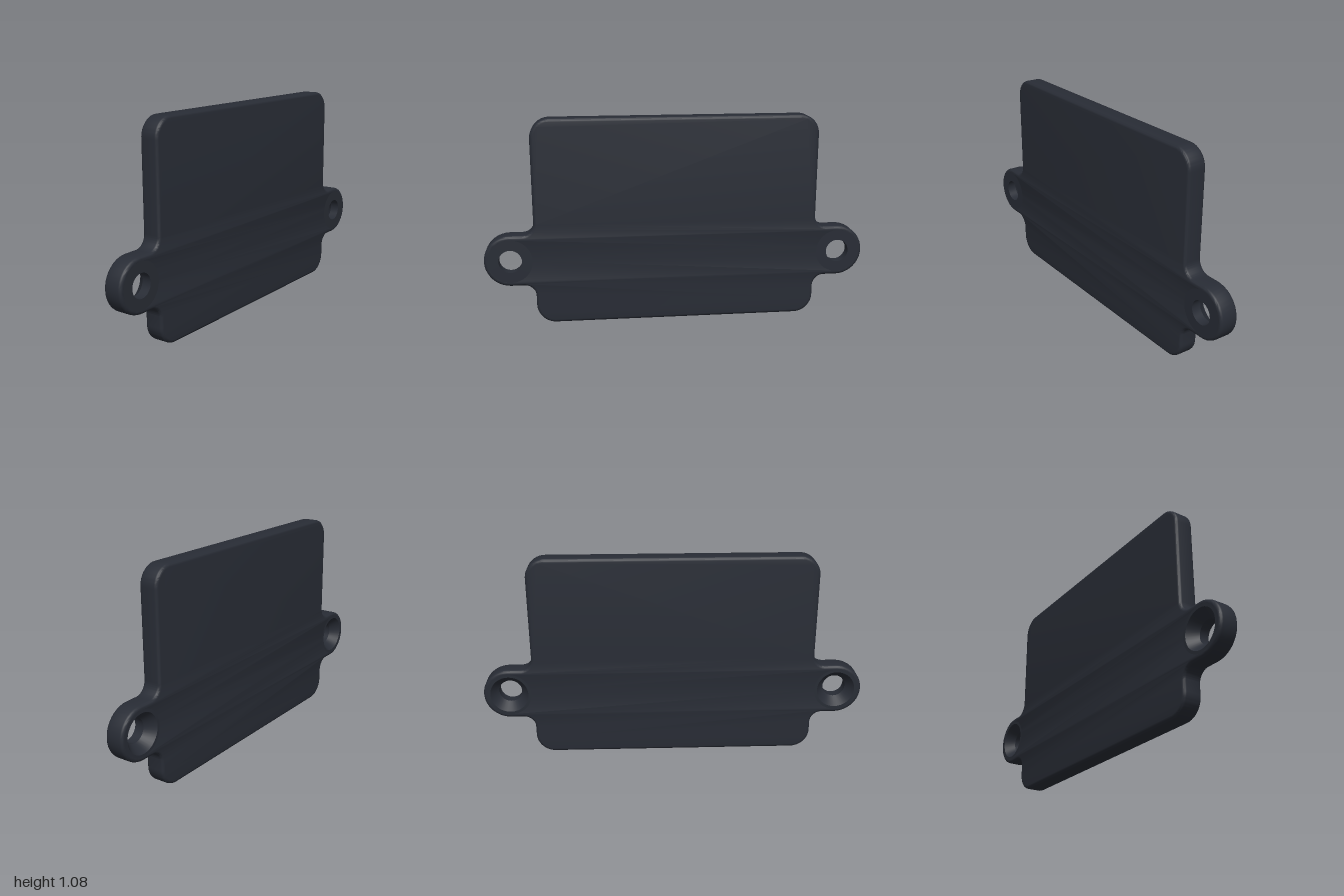
import * as THREE from 'three';
import { toCreasedNormals } from 'three/addons/utils/BufferGeometryUtils.js';

const THICK = 0.1, BEVEL = 0.015;
const EAR = { z: 0.865, y: 0.345, r: 0.135 };
const SEG = 16;

// Half of the plate outline: rounded corners, and an ear blended in with fillets
function halfOutline() {
  const h = Math.PI / 2;
  const p = new THREE.Path();
  p.moveTo(0, 0);
  p.lineTo(0.64, 0);
  p.absarc(0.64, 0.1, 0.1, -h, 0, false);
  p.absarc(0.8, 0.15, 0.06, 2 * h, h, true);
  p.absarc(EAR.z, EAR.y, EAR.r, -h, h, false);
  p.absarc(0.8, 0.54, 0.06, -h, -2 * h, true);
  p.absarc(0.64, 0.98, 0.1, 0, h, false);
  return p.getPoints(10);
}

export function createModel() {
  const group = new THREE.Group();
  group.name = 'mountingPlate';
  const material = new THREE.MeshStandardMaterial({ color: 0x282c35 });

  // Plate with two ears, edges softened all round
  const half = halfOutline();
  const mirrored = half.filter(p => p.x > 1e-6).reverse().map(p => new THREE.Vector2(-p.x, p.y));
  const shape = new THREE.Shape([...half, ...mirrored]);
  for (const s of [-1, 1]) {
    const hole = new THREE.Path();
    hole.absarc(s * EAR.z, EAR.y, 0.1, 0, Math.PI * 2, true);
    shape.holes.push(hole);
  }
  const plateGeo = new THREE.ExtrudeGeometry(shape, {
    depth: THICK - 2 * BEVEL, curveSegments: SEG,
    bevelEnabled: true, bevelThickness: BEVEL, bevelSize: BEVEL, bevelOffset: -BEVEL, bevelSegments: 3,
  });
  plateGeo.translate(0, 0, BEVEL - THICK / 2);
  plateGeo.rotateY(Math.PI / 2);
  const plate = new THREE.Mesh(toCreasedNormals(plateGeo, 0.6), material);
  plate.name = 'plate';
  group.add(plate);

  // Screw holes: straight bore on the +x side, countersunk on the -x side
  const profile = [[0.115, 0.05], [0.06, 0.05], [0.06, 0], [0.1, -0.05], [0.115, -0.05]]
    .map(([r, y]) => new THREE.Vector2(r, y));
  const holeGeo = toCreasedNormals(new THREE.LatheGeometry(profile, SEG * 2).rotateZ(-Math.PI / 2), 0.6);
  for (const s of [-1, 1]) {
    const screwHole = new THREE.Mesh(holeGeo, material);
    screwHole.name = s > 0 ? 'frontScrewHole' : 'backScrewHole';
    screwHole.position.set(0, EAR.y, s * EAR.z);
    group.add(screwHole);
  }
  return group;
}
